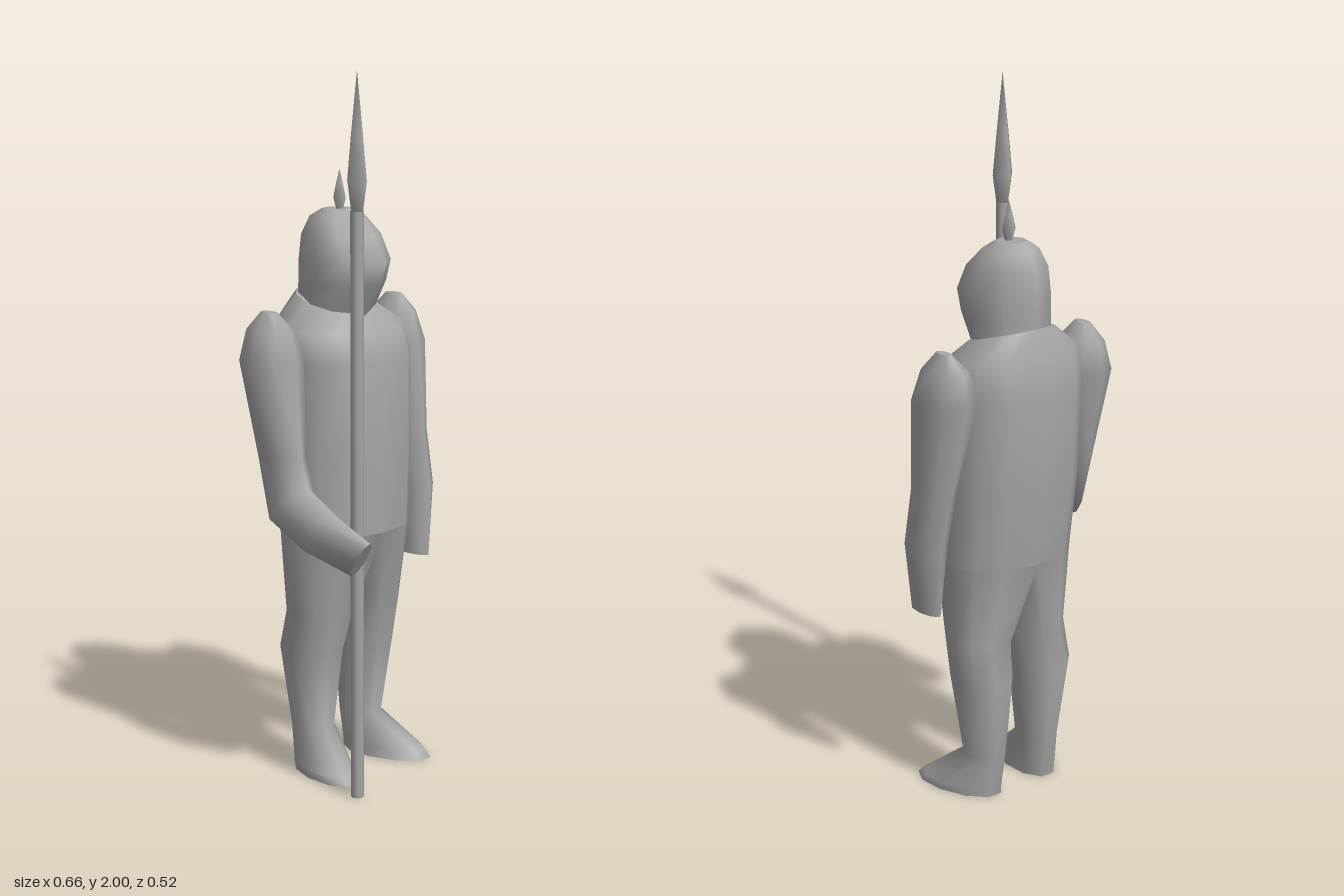
import * as THREE from 'three';

// Unit outline of a section: angle a = 90 degrees points to the front
function oval(n, power = 1) {
  const bend = v => Math.sign(v) * Math.pow(Math.abs(v), power);
  return Array.from({ length: n }, (_, i) => {
    const a = (i / n) * Math.PI * 2;
    return [bend(Math.cos(a)), bend(Math.sin(a))];
  });
}

// Leg outline: d = 1 is half of the torso section, d = 0 a plain oval
function legOutline(d) {
  const out = [];
  for (let i = 0; i < 10; i++) {
    const a = ((i - 3) * Math.PI) / 5;
    const e = [Math.cos(a), Math.sin(a)];
    let h;
    if (i < 7) {
      const t = ((i - 3) * Math.PI) / 6;
      h = [2 * Math.pow(Math.abs(Math.cos(t)), 0.85) - 1,
        Math.sign(Math.sin(t)) * Math.pow(Math.abs(Math.sin(t)), 0.85)];
    } else h = [-1, (8 - i) * 0.5];
    out.push([e[0] + (h[0] - e[0]) * d, e[1] + (h[1] - e[1]) * d]);
  }
  return out;
}

// Smooth skin over rings listed from bottom to top.
// ring: y, x centre, rx half width, z = [back, front], lift of the front, skew of the front in x
function loft(rings, outlineOf, mirror = false) {
  const pos = [], idx = [];
  const rows = rings.map(r => outlineOf(r).map(([u, v]) => {
    const [back, front] = r.z;
    const x = (r.x || 0) + r.rx * u + (r.skew || 0) * v;
    return [mirror ? -x : x, r.y + (r.lift || 0) * v, (back + front) / 2 + ((front - back) / 2) * v];
  }));
  const n = rows[0].length;
  const tri = (a, b, c) => (mirror ? idx.push(a, c, b) : idx.push(a, b, c));
  rows.forEach(row => row.forEach(p => pos.push(...p)));
  for (let r = 0; r + 1 < rows.length; r++) {
    for (let i = 0; i < n; i++) {
      const j = (i + 1) % n, a = r * n, b = a + n;
      tri(a + i, b + i, a + j);
      tri(a + j, b + i, b + j);
    }
  }
  // Flat end caps with their own vertices
  [rows[0], rows[rows.length - 1]].forEach((row, top) => {
    const start = pos.length / 3;
    row.forEach(p => pos.push(...p));
    pos.push(...[0, 1, 2].map(k => row.reduce((s, p) => s + p[k], 0) / n));
    for (let i = 0; i < n; i++) {
      const a = start + i, b = start + ((i + 1) % n);
      top ? tri(start + n, b, a) : tri(start + n, a, b);
    }
  });
  const g = new THREE.BufferGeometry();
  g.setAttribute('position', new THREE.Float32BufferAttribute(pos, 3));
  g.setIndex(idx);
  g.computeVertexNormals();
  return g;
}

export function createModel() {
  const group = new THREE.Group();
  const grey = new THREE.MeshStandardMaterial({ color: 0xa6a6a6 });
  grey.name = 'plain grey';
  const add = (name, geometry, x = 0, y = 0, z = 0) => {
    const mesh = new THREE.Mesh(geometry, grey);
    mesh.name = name;
    mesh.position.set(x, y, z);
    group.add(mesh);
  };

  // Torso, from hips to sloping collar
  add('torso', loft([
    { y: 0.70, rx: 0.2, z: [-0.222, 0.073] },
    { y: 0.92, rx: 0.21, z: [-0.25, 0.08] },
    { y: 1.19, rx: 0.212, z: [-0.262, 0.078] },
    { y: 1.285, rx: 0.205, z: [-0.235, 0.04], lift: -0.02 },
    { y: 1.345, rx: 0.115, z: [-0.213, 0], lift: -0.03 },
  ], () => oval(12, 0.85)));

  // Helmeted head with a ridge at the front
  const head8 = oval(8).map(([u, v], i) => (i === 1 || i === 3 ? [u * 1.1, v * 0.78] : [u, v]));
  add('head', loft([
    { y: 1.32, rx: 0.112, z: [-0.212, 0], lift: -0.02 },
    { y: 1.40, rx: 0.117, z: [-0.215, 0.06] },
    { y: 1.46, rx: 0.117, z: [-0.217, 0.083] },
    { y: 1.53, rx: 0.108, z: [-0.205, 0.04] },
    { y: 1.58, rx: 0.08, z: [-0.178, -0.02] },
    { y: 1.60, rx: 0.045, z: [-0.145, -0.06] },
  ], () => head8));

  // Legs with feet turned slightly outward
  const leg = [
    { y: 0, x: 0.125, rx: 0.072, z: [-0.165, 0.11], skew: 0.025, d: 0 },
    { y: 0.025, x: 0.125, rx: 0.072, z: [-0.166, 0.085], skew: 0.025, d: 0 },
    { y: 0.12, x: 0.098, rx: 0.055, z: [-0.178, -0.04], d: 0 },
    { y: 0.36, x: 0.108, rx: 0.081, z: [-0.207, -0.005], d: 0.1 },
    { y: 0.47, x: 0.104, rx: 0.086, z: [-0.18, 0.015], d: 0.3 },
    { y: 0.70, x: 0.1, rx: 0.1, z: [-0.222, 0.073], d: 1 },
  ];
  // Shoulder and upper arm shared by both sides
  const shoulder = [
    { y: 1.20, x: 0.245, rx: 0.083, z: [-0.213, -0.018] },
    { y: 1.285, x: 0.245, rx: 0.054, z: [-0.2, -0.04] },
    { y: 1.335, x: 0.25, rx: 0.014, z: [-0.15, -0.09] },
  ];
  const leftArm = [
    { y: 0.575, x: 0.256, rx: 0.024, z: [-0.105, 0.015] },
    { y: 0.78, x: 0.272, rx: 0.05, z: [-0.135, 0.005] },
    { y: 0.94, x: 0.255, rx: 0.05, z: [-0.158, -0.003] },
    ...shoulder,
  ];
  // Right forearm reaches forward to the spear
  const rightArm = [
    { y: 0.698, x: 0.252, rx: 0.023, z: [0.195, 0.263], lift: 0.052 },
    { y: 0.75, x: 0.27, rx: 0.054, z: [0.06, 0.14], lift: 0.065 },
    { y: 0.81, x: 0.27, rx: 0.054, z: [-0.085, 0.05], lift: 0.055 },
    { y: 0.94, x: 0.255, rx: 0.05, z: [-0.15, 0.01] },
    ...shoulder,
  ];
  add('leftLeg', loft(leg, r => legOutline(r.d)));
  add('rightLeg', loft(leg, r => legOutline(r.d), true));
  add('leftArm', loft(leftArm, () => oval(8)));
  add('rightArm', loft(rightArm, () => oval(8), true));

  // Four-sided points of the helmet and spear
  const spike = points => new THREE.LatheGeometry(points.map(([r, y]) => new THREE.Vector2(r, y)), 4);
  add('helmetSpike', spike([[0.012, 0], [0.024, 0.035], [0.013, 0.075], [0, 0.115]]), 0, 1.595, -0.094);
  add('spearShaft', new THREE.CylinderGeometry(0.018, 0.018, 1.63, 8), -0.205, 0.815, 0.17);
  add('spearHead', spike([[0, 0], [0.022, 0], [0.036, 0.08], [0.022, 0.2], [0, 0.37]]), -0.205, 1.63, 0.17);

  return group;
}
